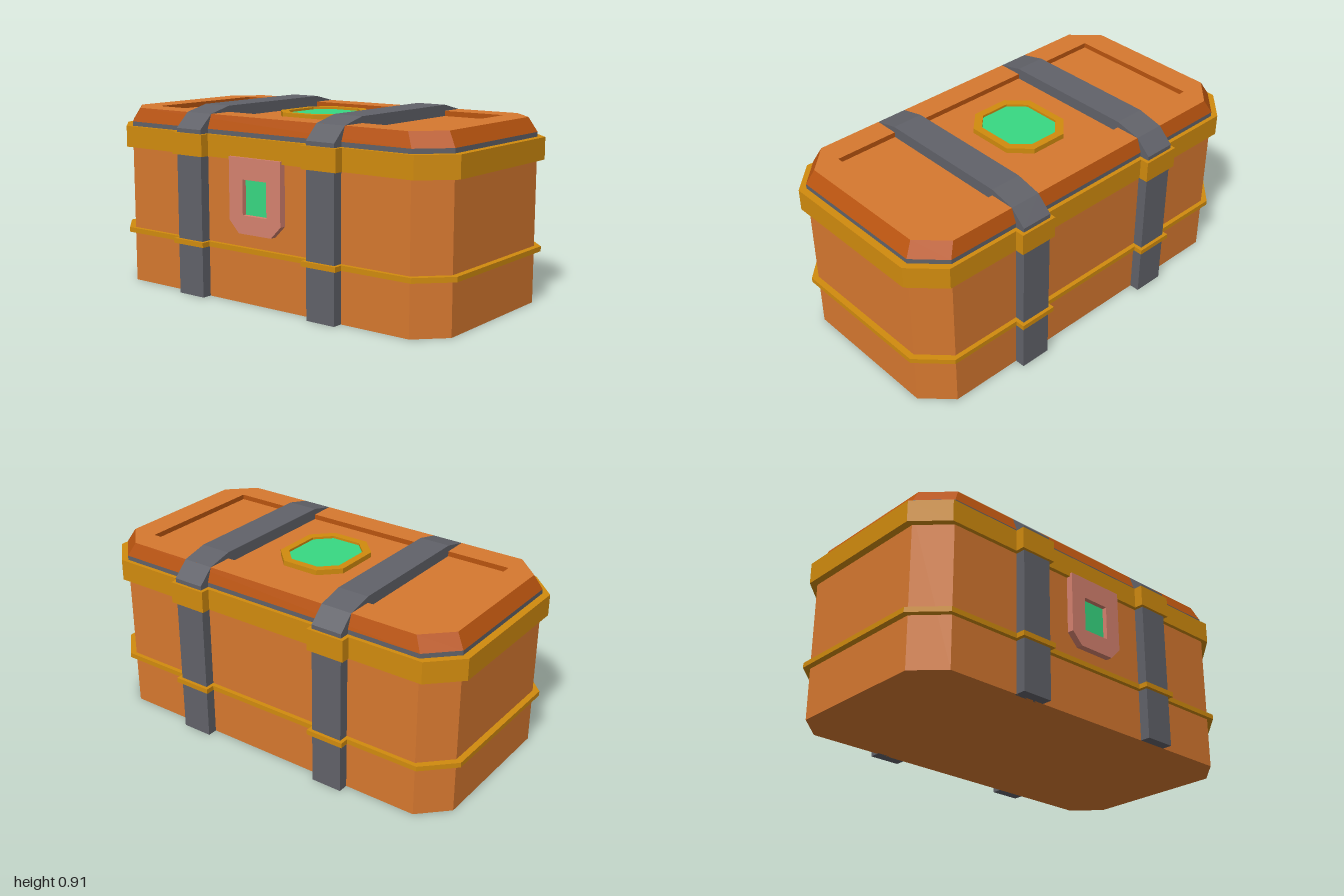
import * as THREE from 'three';

const mat = (name, color) => Object.assign(new THREE.MeshStandardMaterial({ color, flatShading: true }), { name });
const wood = mat('wood', 0xd6782f);
const darkWood = mat('darkWood', 0xb9540f);
const gold = mat('gold', 0xd18b0e);
const iron = mat('iron', 0x616269);
const gemGreen = mat('gemGreen', 0x38d882);
const copper = mat('copper', 0xd6826f);

const STRAP_X = 0.396;

const polygon = (pts, Type = THREE.Shape) => new Type(pts.map(([x, y]) => new THREE.Vector2(x, y)));

// Rectangle with cut corners, half sizes w and d
const octagon = (w, d, cut) => [
  [w, -d + cut], [w, d - cut], [w - cut, d], [-w + cut, d],
  [-w, d - cut], [-w, -d + cut], [-w + cut, -d], [w - cut, -d],
];
const rect = (w, d) => [[w, -d], [w, d], [-w, d], [-w, -d]];

// Octagon whose long sides step outwards around the straps
function bandOutline(w, d, cut, bumpDepth) {
  const half = 0.096;
  const edge = [w - cut, STRAP_X + half, STRAP_X - half, -STRAP_X + half, -STRAP_X - half];
  const front = [[edge[0], d]];
  for (const c of [STRAP_X, -STRAP_X]) {
    front.push([c + half, d], [c + half, bumpDepth], [c - half, bumpDepth], [c - half, d]);
  }
  front.push([-edge[0], d]);
  const back = front.map(([x, z]) => [-x, -z]);
  return [[w, -d + cut], [w, d - cut], ...front, [-w, d - cut], [-w, -d + cut], ...back];
}

// Upright slab from y0 to y1 with an outline in x and z
function slab(name, pts, y0, y1, material, hole) {
  const shape = polygon(pts);
  if (hole) shape.holes.push(polygon(hole, THREE.Path));
  const geo = new THREE.ExtrudeGeometry(shape, { depth: y1 - y0, bevelEnabled: false });
  geo.rotateX(-Math.PI / 2).translate(0, y0, 0);
  const mesh = new THREE.Mesh(geo, material);
  mesh.name = name;
  return mesh;
}

export function createModel() {
  const chest = new THREE.Group();
  chest.name = 'chest';

  // Box, gold bands and the iron seam under the lid
  chest.add(
    slab('body', octagon(0.965, 0.49, 0.13), 0, 0.75, wood),
    slab('lowerBand', bandOutline(0.995, 0.512, 0.14, 0.557), 0.25, 0.274, gold),
    slab('upperBand', bandOutline(1.0, 0.51, 0.14, 0.554), 0.685, 0.79, gold),
    slab('seam', octagon(0.965, 0.49, 0.13), 0.78, 0.812, iron),
  );

  // Lid: the outer top edge is drawn in to slope the sides
  const lid = slab('lid', octagon(0.965, 0.49, 0.13), 0.812, 0.88, [wood, darkWood], rect(0.795, 0.34));
  const p = lid.geometry.attributes.position;
  for (let i = 0; i < p.count; i++) {
    if (p.getY(i) > 0.85 && Math.abs(p.getX(i)) > 0.82) {
      p.setX(i, p.getX(i) * 0.9585);
      p.setZ(i, p.getZ(i) * 0.949);
    }
  }
  lid.geometry.computeVertexNormals();
  chest.add(lid, slab('lidPanel', rect(0.81, 0.35), 0.82, 0.855, wood));

  // Gem set in a gold frame on the lid
  chest.add(
    slab('gemFrame', octagon(0.183, 0.205, 0.09), 0.84, 0.88, gold, octagon(0.147, 0.168, 0.072)),
    slab('lidGem', octagon(0.15, 0.17, 0.072), 0.84, 0.869, gemGreen),
  );

  // Straps arching over the lid
  const arch = polygon([
    [0.54, 0], [0.54, 0.81], [0.465, 0.88], [0.34, 0.91], [-0.34, 0.91], [-0.465, 0.88], [-0.54, 0.81], [-0.54, 0],
    [-0.48, 0], [-0.48, 0.8], [-0.43, 0.84], [0.43, 0.84], [0.48, 0.8], [0.48, 0],
  ]);
  for (const side of [-1, 1]) {
    const geo = new THREE.ExtrudeGeometry(arch, { depth: 0.156, bevelEnabled: false });
    geo.translate(0, 0, -0.078).rotateY(-Math.PI / 2);
    const strap = new THREE.Mesh(geo, iron);
    strap.name = side > 0 ? 'leftStrap' : 'rightStrap';
    strap.position.x = side * STRAP_X;
    chest.add(strap);
  }

  // Lock plate with a sunken gem
  const plate = polygon([
    [-0.155, 0.7], [-0.155, 0.4], [-0.098, 0.342], [0.098, 0.342], [0.155, 0.4], [0.155, 0.7],
  ]);
  plate.holes.push(polygon([[-0.072, 0.43], [0.072, 0.43], [0.072, 0.598], [-0.072, 0.598]], THREE.Path));
  const lock = new THREE.Mesh(new THREE.ExtrudeGeometry(plate, { depth: 0.045, bevelEnabled: false }), copper);
  lock.name = 'lockPlate';
  lock.position.z = 0.478;
  const lockGem = new THREE.Mesh(new THREE.BoxGeometry(0.15, 0.174, 0.02), gemGreen);
  lockGem.name = 'lockGem';
  lockGem.position.set(0, 0.514, 0.49);
  chest.add(lock, lockGem);

  return chest;
}
